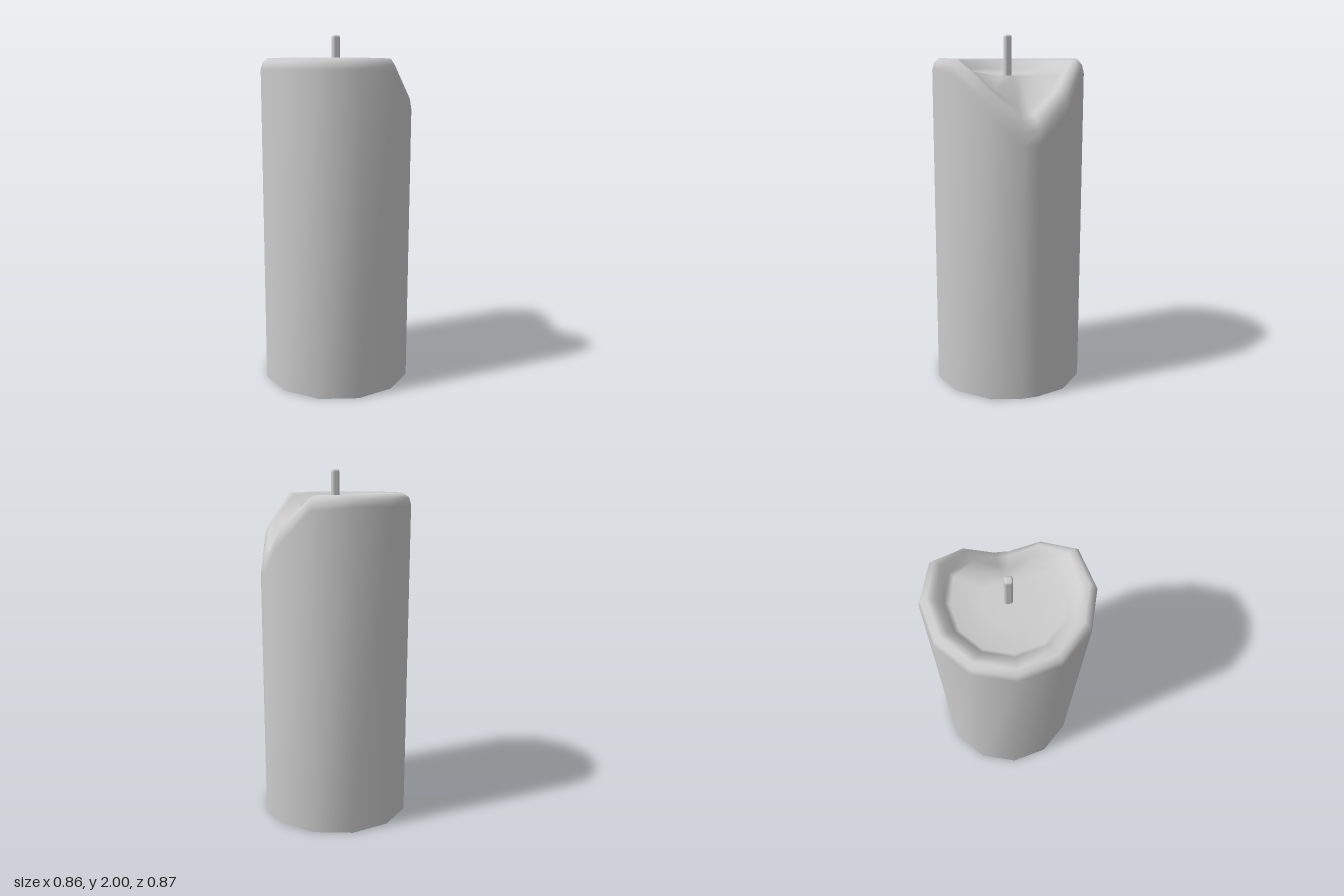
import * as THREE from 'three';
import { RoundedBoxGeometry } from 'three/addons/geometries/RoundedBoxGeometry.js';

// Cross-sections [radius, height], from the foot, over the rim, into the wax pool
const RIM = [[0.433, 0], [0.433, 1.81], [0.421, 1.85], [0.39, 1.872], [0.35, 1.86], [0.31, 1.81], [0.285, 1.785], [0.14, 1.778]];
const SHOULDER = [[0.433, 0], [0.433, 1.79], [0.422, 1.835], [0.395, 1.868], [0.36, 1.855], [0.32, 1.805], [0.295, 1.78], [0.14, 1.778]];
const SLOPE = [[0.435, 0], [0.435, 1.59], [0.425, 1.65], [0.4, 1.7], [0.37, 1.715], [0.31, 1.7], [0.19, 1.778], [0.1, 1.778]];
const SPOUT = [[0.427, 0], [0.427, 1.42], [0.415, 1.5], [0.39, 1.55], [0.35, 1.575], [0.27, 1.62], [0.165, 1.778], [0.09, 1.778]];
const CENTRE_X = 0.004;

// Twelve sides, with the corner at the spout split in two
function columns() {
  const list = [{ angle: 6, profile: SPOUT }];
  for (let angle = 30; angle <= 330; angle += 30) {
    const off = Math.min(angle, 360 - angle);
    list.push({ angle, profile: off === 30 ? SLOPE : off === 60 ? SHOULDER : RIM });
  }
  list.push({ angle: 354, profile: SPOUT });
  return list;
}

function waxGeometry() {
  const cols = columns();
  const n = cols.length;
  const rings = RIM.length;
  const positions = [];
  const index = [];
  for (let i = 0; i < rings; i++) {
    for (const { angle, profile } of cols) {
      const a = THREE.MathUtils.degToRad(angle);
      const [r, y] = profile[i];
      positions.push(CENTRE_X + r * Math.cos(a), y, r * Math.sin(a));
    }
  }
  const centre = positions.length / 3;
  positions.push(CENTRE_X, 1.776, 0);
  for (let j = 0; j < n; j++) {
    const k = (j + 1) % n;
    for (let i = 0; i < rings - 1; i++) {
      const lo = i * n;
      const hi = lo + n;
      index.push(lo + j, hi + j, lo + k, lo + k, hi + j, hi + k);
    }
    const last = (rings - 1) * n;
    index.push(last + j, centre, last + k);
  }
  const geometry = new THREE.BufferGeometry();
  geometry.setAttribute('position', new THREE.Float32BufferAttribute(positions, 3));
  geometry.setIndex(index);
  geometry.computeVertexNormals();
  return geometry;
}

export function createModel() {
  const group = new THREE.Group();
  group.name = 'candle';

  // Wax shell, open underneath, with a melted spout on the left side
  const wax = new THREE.Mesh(
    waxGeometry(),
    new THREE.MeshStandardMaterial({ color: 0xcccccc, side: THREE.DoubleSide })
  );
  wax.name = 'waxBody';
  group.add(wax);

  // Wick standing in the pool
  const wick = new THREE.Mesh(
    new RoundedBoxGeometry(0.042, 0.24, 0.042, 2, 0.012),
    new THREE.MeshStandardMaterial({ color: 0xcccccc })
  );
  wick.name = 'wick';
  wick.position.set(CENTRE_X, 1.88, 0);
  group.add(wick);

  return group;
}
